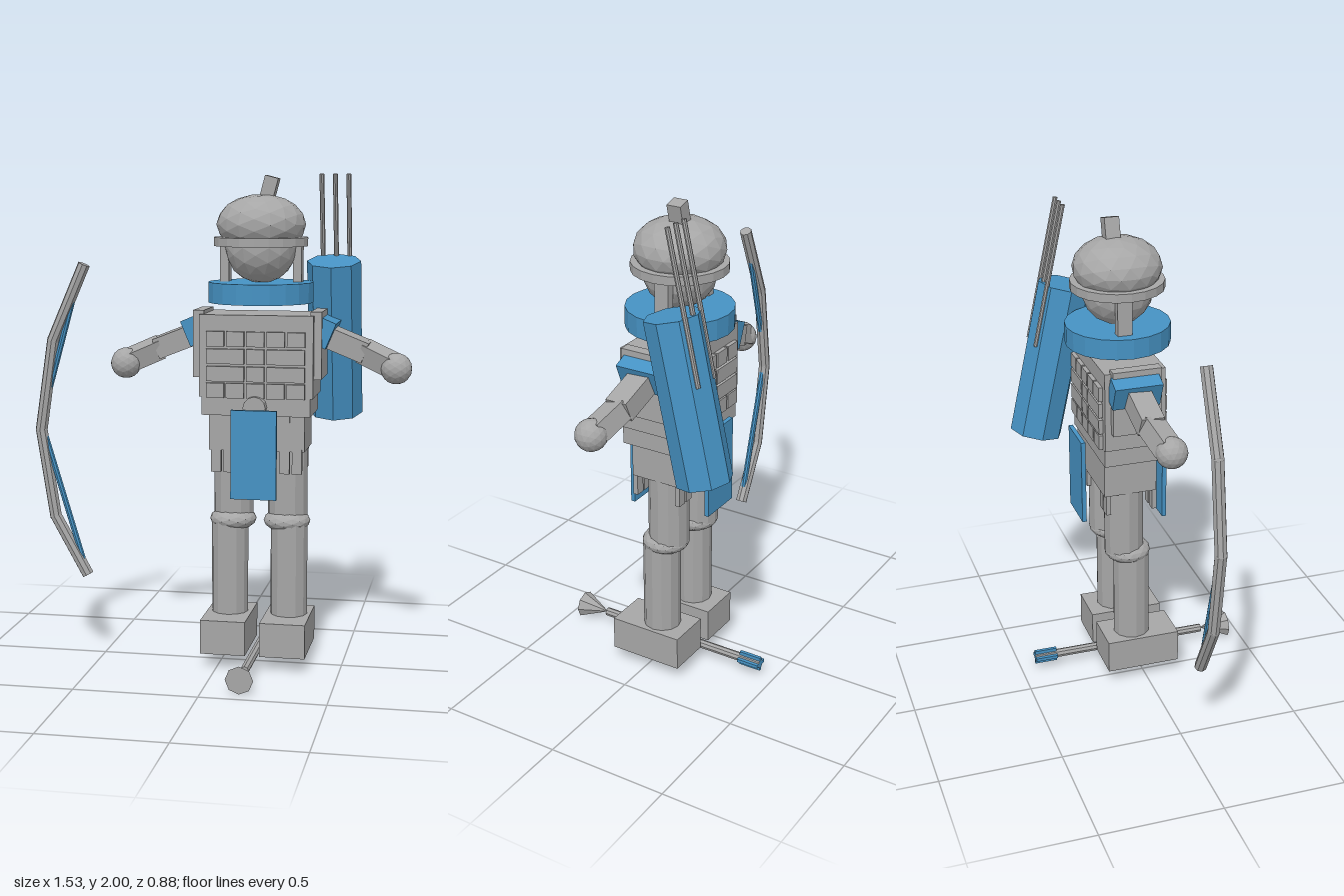
import * as THREE from 'three';

export function createModel() {
  const root = new THREE.Group();
  const grey = new THREE.MeshStandardMaterial({ color: 0xa6a6a6, flatShading: true });
  grey.name = 'stone grey';
  const blue = new THREE.MeshStandardMaterial({ color: 0x4692c3, flatShading: true });
  blue.name = 'cloth blue';

  const body = new THREE.Group();
  body.name = 'archer';
  body.position.set(0.15, 0, -0.055);
  root.add(body);

  function add(parent, name, geo, mat, x = 0, y = 0, z = 0) {
    const m = new THREE.Mesh(geo, mat);
    m.name = name;
    m.position.set(x, y, z);
    parent.add(m);
    return m;
  }
  const box = (parent, name, mat, w, h, d, x, y, z) =>
    add(parent, name, new THREE.BoxGeometry(w, h, d), mat, x, y, z);
  const ball = (r, detail = 2) => new THREE.IcosahedronGeometry(r, detail);
  const V = (x, y, z) => new THREE.Vector3(x, y, z);

  // Stretch a geometry whose length runs along y between two points
  function between(parent, name, mat, a, b, makeGeo) {
    const dir = b.clone().sub(a);
    const m = add(parent, name, makeGeo(dir.length()), mat);
    m.position.copy(a).add(b).multiplyScalar(0.5);
    m.quaternion.setFromUnitVectors(V(0, 1, 0), dir.normalize());
    return m;
  }

  // Head, helmet and collar
  add(body, 'head', ball(0.145), grey, 0, 1.71, 0);
  add(body, 'helmetDome', ball(0.18), grey, 0, 1.80, 0).scale.y = 0.67;
  add(body, 'helmetRim', new THREE.CylinderGeometry(0.19, 0.19, 0.035, 20), grey, 0, 1.732, 0);
  const crest = box(body, 'helmetCrest', grey, 0.055, 0.09, 0.06, 0.032, 1.945, -0.015);
  crest.rotation.z = -0.26;
  add(body, 'collar', new THREE.CylinderGeometry(0.213, 0.213, 0.082, 20), blue, 0, 1.53, 0);

  // Torso, belt and cloth flaps
  box(body, 'torso', grey, 0.46, 0.33, 0.25, 0, 1.28, 0);
  box(body, 'belt', grey, 0.44, 0.078, 0.25, 0, 1.08, 0);
  box(body, 'pelvis', grey, 0.39, 0.15, 0.22, 0, 0.97, -0.01);
  const buckle = add(body, 'buckle', new THREE.CylinderGeometry(0.046, 0.046, 0.04, 12), grey, 0, 1.078, 0.145);
  buckle.rotation.x = Math.PI / 2;
  box(body, 'frontFlap', blue, 0.185, 0.36, 0.018, 0, 0.89, 0.17);
  box(body, 'backFlap', blue, 0.185, 0.36, 0.018, 0, 0.92, -0.177);

  // Armour plates on chest and back
  for (const side of [1, -1]) {
    [1.35, 1.28, 1.21, 1.143].forEach((y, row) => {
      const cells = row === 0 || row === 3
        ? [-0.163, -0.082, 0, 0.082, 0.163].map(x => [x, 0.072])
        : [[-0.122, 0.152], [0, 0.072], [0.122, 0.152]];
      for (const [x, w] of cells) box(body, 'armourPlate', grey, w, 0.06, 0.02, x, y, side * 0.132);
    });
  }

  for (const s of [-1, 1]) {
    const P = (x, y, z) => V(s * x, y, z);

    box(body, 'cheekGuard', grey, 0.035, 0.17, 0.06, s * 0.148, 1.65, -0.02);
    box(body, 'shoulderGuard', grey, 0.045, 0.27, 0.2, s * 0.238, 1.325, 0);

    // Arm
    const sleeve = box(body, 'sleeve', blue, 0.07, 0.11, 0.195, s * 0.262, 1.375, -0.01);
    sleeve.rotation.z = -s * 0.4;
    const limb = (w, d) => len => new THREE.BoxGeometry(w, len, d);
    between(body, 'upperArm', grey, P(0.24, 1.37, -0.01), P(0.43, 1.295, 0), limb(0.085, 0.095));
    between(body, 'forearm', grey, P(0.415, 1.3, 0), P(0.54, 1.245, 0.03), limb(0.08, 0.085));
    add(body, 'hand', ball(0.063), grey, s * 0.552, 1.235, 0.04);

    // Skirt slats around the hips
    for (const z of [0.095, -0.1]) {
      box(body, 'skirtSlat', grey, 0.04, 0.24, 0.02, s * 0.165, 0.925, z);
      box(body, 'skirtSlat', grey, 0.04, 0.24, 0.02, s * 0.115, 0.925, z);
    }

    // Leg
    add(body, 'thigh', new THREE.CylinderGeometry(0.082, 0.082, 0.37, 12), grey, s * 0.112, 0.785, -0.015);
    add(body, 'knee', ball(0.096), grey, s * 0.112, 0.595, 0).scale.y = 0.5;
    add(body, 'shin', new THREE.CylinderGeometry(0.076, 0.076, 0.4, 12), grey, s * 0.123, 0.39, 0.013);
    box(body, 'foot', grey, 0.185, 0.14, 0.31, s * 0.122, 0.136, 0.04);
  }

  // Quiver leaning on the back, with spare arrows
  const quiver = new THREE.Group();
  quiver.name = 'quiver';
  quiver.position.set(0.428, 1.33, -0.265);
  quiver.rotation.x = 0.215;
  root.add(quiver);
  add(quiver, 'quiverCase', new THREE.CylinderGeometry(0.111, 0.111, 0.655, 8), blue);
  for (const x of [-0.055, 0, 0.055])
    add(quiver, 'spareArrow', new THREE.CylinderGeometry(0.01, 0.01, 0.6, 8), grey, x, 0.366, -0.089);

  // Bow from straight rods, with string sections on its inner side
  const bow = new THREE.Group();
  bow.name = 'bow';
  bow.position.z = 0.06;
  root.add(bow);
  const rod = r => len => new THREE.CylinderGeometry(r, r, len, 8);
  const curve = [[-0.555, 1.64], [-0.69, 1.33], [-0.745, 0.96], [-0.69, 0.6], [-0.555, 0.355]];
  const points = curve.map(([x, y]) => V(x, y, 0));
  for (let i = 0; i < 4; i++) between(bow, 'bowLimb', grey, points[i], points[i + 1], rod(0.025));
  for (const p of points.slice(1, 4)) add(bow, 'bowJoint', ball(0.025, 1), grey, p.x, p.y, 0);
  between(bow, 'bowString', blue, V(-0.57, 1.62, 0), V(-0.73, 1.05, 0), rod(0.012));
  between(bow, 'bowString', blue, V(-0.57, 0.4, 0), V(-0.73, 0.94, 0), rod(0.012));

  // Arrow lying between the feet
  const arrow = new THREE.Group();
  arrow.name = 'arrow';
  arrow.position.set(0.15, 0.062, 0);
  root.add(arrow);
  between(arrow, 'arrowShaft', grey, V(0, 0, -0.44), V(0, 0, 0.32), rod(0.018));
  const tip = add(arrow, 'arrowTip', new THREE.ConeGeometry(0.056, 0.12, 8), grey, 0, 0, 0.38);
  tip.rotation.x = -Math.PI / 2;
  for (const a of [0, Math.PI / 2])
    box(arrow, 'fletching', blue, 0.06, 0.014, 0.095, 0, 0, -0.393).rotation.z = a;

  return root;
}
